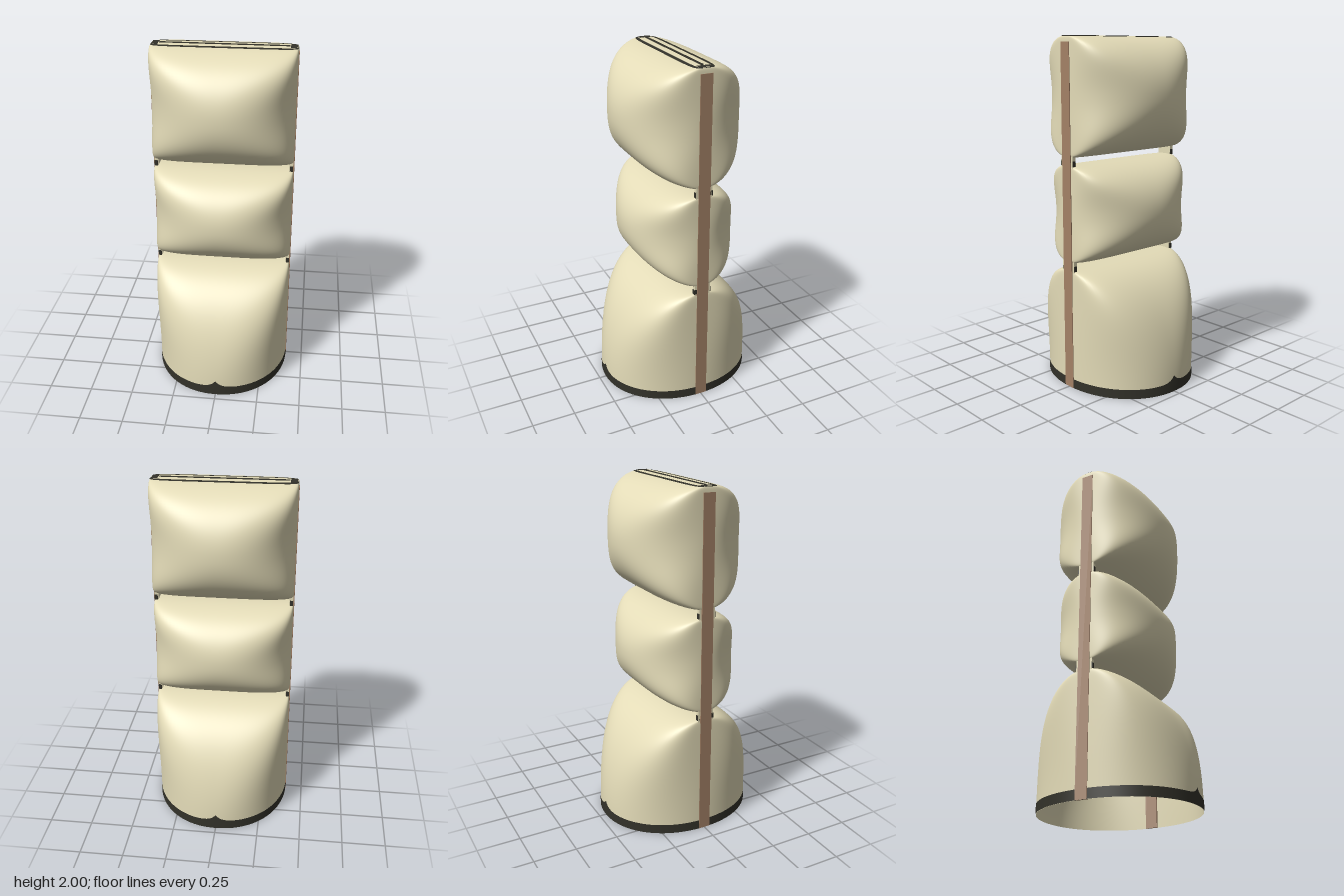
import * as THREE from 'three';
import { mergeVertices } from 'three/addons/utils/BufferGeometryUtils.js';

const fabric = new THREE.MeshStandardMaterial({ color: 0xe4dcb8, side: THREE.DoubleSide });
fabric.name = 'cream fabric';
const strapBrown = new THREE.MeshStandardMaterial({ color: 0xa38166 });
strapBrown.name = 'brown strap';
const trimDark = new THREE.MeshStandardMaterial({ color: 0x33322a });
trimDark.name = 'dark trim';

// Surface from a rule (u, v) -> [x, y, z]; faces point along dP/dv x dP/du
function grid(nu, nv, rule) {
  const pos = [], index = [];
  for (let j = 0; j <= nv; j++)
    for (let i = 0; i <= nu; i++) pos.push(...rule(i / nu, j / nv));
  for (let j = 0; j < nv; j++)
    for (let i = 0; i < nu; i++) {
      const a = j * (nu + 1) + i, b = a + nu + 1;
      index.push(a, b, a + 1, a + 1, b, b + 1);
    }
  let geo = new THREE.BufferGeometry();
  geo.setAttribute('position', new THREE.Float32BufferAttribute(pos, 3));
  geo.setIndex(index);
  geo = mergeVertices(geo, 1e-4);
  geo.computeVertexNormals();
  return geo;
}

const HALF = 0.398;

// Loop round the bag: an oval where the swell g is 1, boxier towards the seams where g is 0
function loop(u, y, depth, g, grow = 0) {
  const c = Math.cos(u * Math.PI * 2), s = Math.sin(u * Math.PI * 2);
  const n = 2.1 + 5 * (1 - g);
  const r = Math.pow(Math.abs(c) ** n + Math.abs(s) ** n, -1 / n);
  const halfX = HALF - 0.014 * Math.pow(1 - g, 6) + grow;
  return [halfX * c * r, y, (depth * g + grow) * s * r];
}

// Closed chamber surface; a runs from 0 at its lower seam to PI at its upper seam
function chamberPoint({ low, high, depth }, u, a, grow = 0) {
  const round = t => Math.sign(t) * Math.pow(Math.abs(t), 2 / 2.15);
  const y = (low + high) / 2 - (high - low) / 2 * round(Math.cos(a));
  return loop(u, y, depth, Math.max(0, round(Math.sin(a))), grow);
}

export function createModel() {
  const model = new THREE.Group();
  const add = (name, geo, mat, x = 0, y = 0, z = 0) => {
    const mesh = new THREE.Mesh(geo, mat);
    mesh.name = name;
    mesh.position.set(x, y, z);
    model.add(mesh);
  };

  // Two closed inflated chambers
  const top = { low: 1.345, high: 1.998, depth: 0.35 };
  const middle = { low: 0.75, high: 1.3, depth: 0.315 };
  add('topChamber', grid(128, 56, (u, v) => chamberPoint(top, u, v * Math.PI)), fabric);
  add('middleChamber', grid(128, 56, (u, v) => chamberPoint(middle, u, v * Math.PI)), fabric);

  // Dark trim round the crown, and the seam along its middle
  add('crownTrim', grid(128, 3, (u, v) =>
    chamberPoint(top, u, Math.PI - 0.17 + 0.06 * v, 0.002)), trimDark);
  add('crownSeam', new THREE.BoxGeometry(0.7, 0.004, 0.018), trimDark, 0, 1.998, 0);

  // Bottom chamber, open underneath
  const lowTop = 0.705, power = 2.25, lowDepth = 0.457;
  const lowSwell = y => Math.pow(Math.max(0, 1 - Math.pow(y / lowTop, power)), 1 / power);
  add('bottomChamber', grid(128, 48, (u, v) => {
    const y = lowTop * Math.sin(v * Math.PI / 2);
    return loop(u, y, lowDepth, v === 1 ? 0 : lowSwell(y));
  }), fabric);

  // Dark hem around the opening, with a small peak at front and back
  add('bottomHem', grid(192, 4, (u, v) => {
    const x = HALF * Math.cos(u * Math.PI * 2);
    const y = v * (0.055 + 0.04 * Math.exp(-Math.abs(x) / 0.03));
    return loop(u, y, lowDepth, lowSwell(y), 0.002);
  }), trimDark);

  // Side straps, the links across the gaps, and the top corner tabs
  for (const side of [1, -1]) {
    const label = side > 0 ? 'left' : 'right';
    add(label + 'Strap', new THREE.BoxGeometry(0.014, 1.965, 0.07), strapBrown, side * 0.394, 0.983, 0);
    add(label + 'CornerTab', new THREE.BoxGeometry(0.035, 0.024, 0.07), trimDark, side * 0.372, 1.986, 0);
    for (const y of [0.7275, 1.3225]) {
      add(label + 'GapLink', new THREE.BoxGeometry(0.022, 0.07, 0.096), fabric, side * 0.384, y, 0);
      add(label + 'GapTrim', new THREE.BoxGeometry(0.018, 0.03, 0.104), trimDark, side * 0.386, y - 0.01, 0);
    }
  }
  return model;
}
